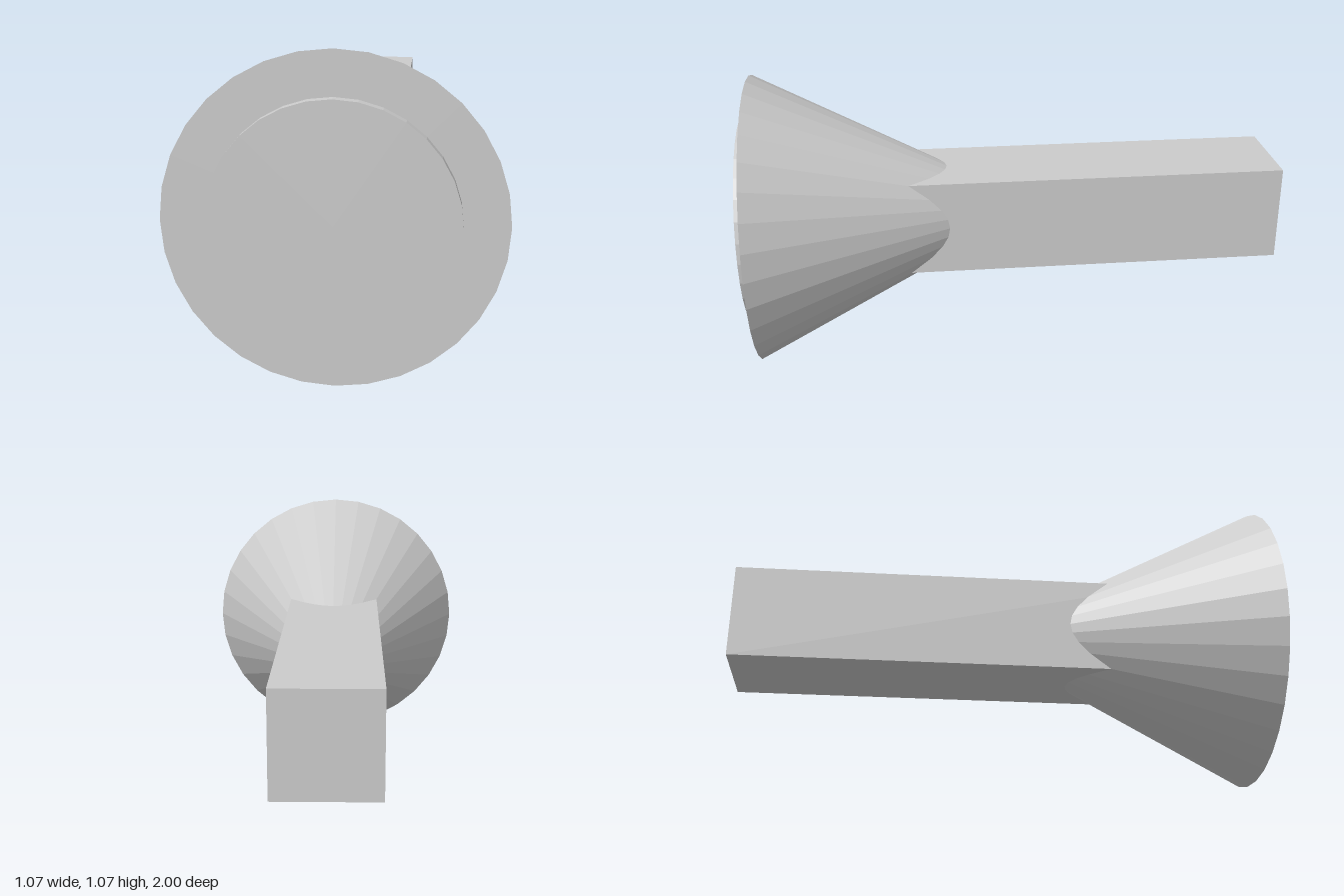
import * as THREE from 'three';

export function createModel() {
  const model = new THREE.Group();
  const material = new THREE.MeshStandardMaterial({ color: 0xcccccc, flatShading: true });
  const axisY = 0.537;
  const sides = 32;

  function addPart(name, geometry, z) {
    const mesh = new THREE.Mesh(geometry, material);
    mesh.name = name;
    mesh.position.set(0, axisY, z);
    model.add(mesh);
  }

  // Round part along z, from zBack to zFront
  function addRound(name, rFront, rBack, zBack, zFront) {
    const geometry = new THREE.CylinderGeometry(rFront, rBack, zFront - zBack, sides);
    geometry.rotateX(Math.PI / 2);
    addPart(name, geometry, (zBack + zFront) / 2);
  }

  // Square handle, running into the cone
  addPart('handle', new THREE.BoxGeometry(0.356, 0.356, 1.6), -0.2);

  // Flared head; its tip is buried in the handle
  addRound('flaredHead', 0.535, 0, -0.105, 0.965);

  // Thin disc on the front of the head
  addRound('frontDisc', 0.391, 0.391, 0.9, 1);

  return model;
}
